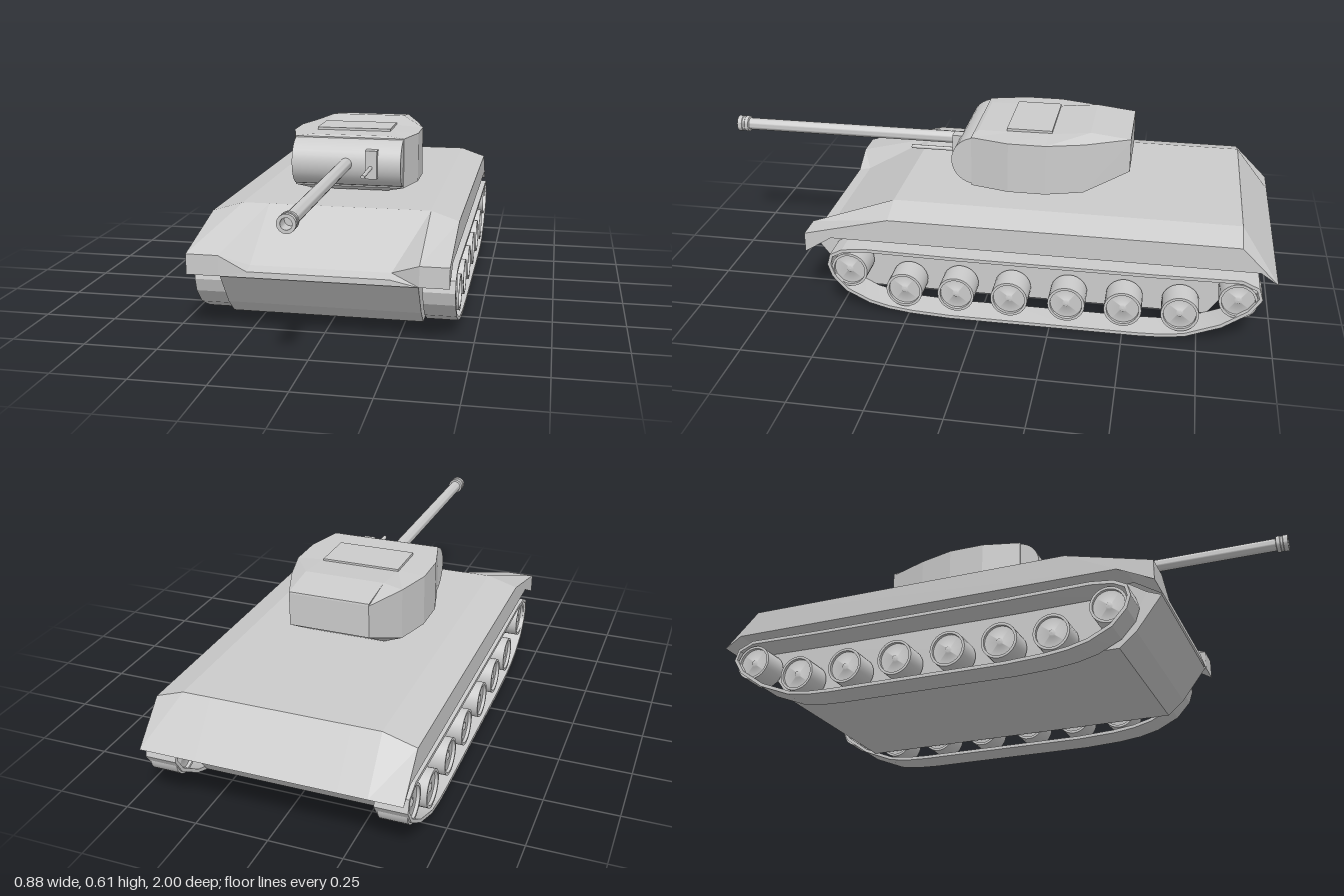
import * as THREE from 'three';
import { toCreasedNormals } from 'three/addons/utils/BufferGeometryUtils.js';

const smooth = new THREE.MeshStandardMaterial({ color: 0xcccccc });
const flat = new THREE.MeshStandardMaterial({ color: 0xcccccc, flatShading: true, side: THREE.DoubleSide });

function add(parent, name, geometry, material = smooth) {
  const mesh = new THREE.Mesh(geometry, material);
  mesh.name = name;
  parent.add(mesh);
  return mesh;
}

// Four-cornered faces, counter-clockwise from outside
function quadGeometry(quads) {
  const pos = [];
  for (const [a, b, c, d] of quads) pos.push(...a, ...b, ...c, ...a, ...c, ...d);
  const g = new THREE.BufferGeometry();
  g.setAttribute('position', new THREE.Float32BufferAttribute(pos, 3));
  g.computeVertexNormals();
  return g;
}

// Turns the +x half of a section into a full row of points
const row = (half, mirror) => [...half.map(mirror).reverse(), ...half];

// Joins successive rows, closing each into a ring if asked
function skin(rows, closed) {
  const quads = [];
  for (let i = 0; i < rows.length - 1; i++) {
    const r = rows[i], t = rows[i + 1], n = r.length;
    for (let j = 0; j < (closed ? n : n - 1); j++) {
      const k = (j + 1) % n;
      quads.push([r[j], r[k], t[k], t[j]]);
    }
  }
  return quads;
}

// Extrudes a (z, y) shape across x, centred on cx
function extrudeAcross(shape, width, cx) {
  const g = new THREE.ExtrudeGeometry(shape, { depth: width, bevelEnabled: false });
  return g.rotateY(-Math.PI / 2).translate(cx + width / 2, 0, 0);
}

const toPoints = (pts) => pts.map(([x, y]) => new THREE.Vector2(x, y));

function buildHull() {
  const hull = new THREE.Group();
  hull.name = 'hull';
  // The right sponson is slightly wider than the left
  const mirror = ([x, y, z]) => [x > 0.4 ? -0.44 : -x, y, z];
  const W = 0.427;
  const front = [[0.235, 0.245, 0.57], [0.33, 0.285, 0.615], [W, 0.285, 0.615], [W, 0.215, 0.615], [0.33, 0.215, 0.615]];
  const rear = [[0.235, 0.393, -0.875], [0.33, 0.393, -0.875], [W, 0.36, -0.875], [W, 0.275, -0.94], [0.327, 0.275, -0.94]];
  const tip = [0.235, 0.33, W, W, 0.327].map((x) => [x, 0.235, -1]);
  const sections = [
    front,
    [[0.235, 0.393, 0.315], [0.33, 0.393, 0.315], [W, 0.36, 0.315], [W, 0.275, 0.52], [0.327, 0.275, 0.52]],
    rear,
    tip,
  ];
  const quads = skin(sections.map((s) => row(s, mirror)), false);
  // Fender noses and the recessed lip between them
  const [a, b, c, d, e] = front;
  const f = [0.235, 0.235, 0.614];
  for (const q of [[b, e, d, c], [a, f, e, b]]) quads.push(q, q.map(mirror).reverse());
  quads.push([mirror(a), mirror(f), f, a], [mirror(f), mirror(e), e, f]);
  // Underside of the rear overhang
  quads.push([rear[4], mirror(rear[4]), mirror(tip[4]), tip[4]]);
  add(hull, 'upperHull', quadGeometry(quads), flat);

  const lower = [[0.61, 0.215], [0.52, 0.098], [0.46, 0.047], [-0.78, 0.047], [-0.945, 0.275], [0.5, 0.275], [0.56, 0.235]];
  add(hull, 'lowerHull', extrudeAcross(new THREE.Shape(toPoints(lower)), 0.654, 0), flat);
  return hull;
}

function buildTurret() {
  const turret = new THREE.Group();
  turret.name = 'turret';
  const mirror = ([x, y, z]) => [-x, y, z];
  // Plan outline from front to back, with the lower edge rising at the rear
  const plan = [[0.2, 0.065, 0.41], [0.235, -0.07, 0.41], [0.235, -0.2, 0.41], [0.2, -0.33, 0.412], [0.14, -0.485, 0.477]];
  const zBottom = [0.05, -0.07, -0.2, -0.31, -0.345];
  const roof = [[0.05, 0.597], [-0.07, 0.597], [-0.2, 0.598], [-0.345, 0.613], [-0.484, 0.597]];
  const levels = [
    zBottom.map((z) => [0.14, 0.396, z]),
    plan.map(([x, z, y]) => [x, y, z]),
    plan.map(([x, z]) => [x, 0.591, z]),
    roof.map(([z, y]) => [0.14, y, z]),
  ];
  const quads = skin(levels.map((l) => row(l, mirror)), true);
  const [bottom, , , top] = levels;
  for (let i = 0; i < 4; i++) {
    quads.push([mirror(top[i]), top[i], top[i + 1], mirror(top[i + 1])]);
    quads.push([bottom[i], mirror(bottom[i]), mirror(bottom[i + 1]), bottom[i + 1]]);
  }
  add(turret, 'turretBody', quadGeometry(quads), flat);
  add(turret, 'hatch', new THREE.BoxGeometry(0.275, 0.012, 0.16)).position.set(-0.005, 0.6, -0.13);

  // Rounded gun shield
  const mantlet = new THREE.CylinderGeometry(0.087, 0.087, 0.396, 32).rotateZ(Math.PI / 2);
  add(turret, 'mantlet', mantlet).position.set(0, 0.501, 0.05);

  // Main gun with a ringed, hollow muzzle
  const gunProfile = [[0, 0.1], [0.022, 0.1], [0.022, 0.957], [0.029, 0.959], [0.029, 0.972], [0.027, 0.974],
    [0.027, 0.982], [0.029, 0.984], [0.029, 1], [0.018, 1], [0.018, 0.95], [0, 0.95]];
  const gun = new THREE.LatheGeometry(toPoints(gunProfile), 24).rotateX(Math.PI / 2);
  add(turret, 'mainGun', toCreasedNormals(gun, 0.6)).position.y = 0.505;

  // Secondary gun and its mount
  add(turret, 'secondaryMount', new THREE.BoxGeometry(0.042, 0.102, 0.05)).position.set(0.094, 0.508, 0.125);
  const barrel = new THREE.CylinderGeometry(0.007, 0.007, 0.2, 12).rotateX(Math.PI / 2);
  add(turret, 'secondaryBarrel', barrel).position.set(0.092, 0.497, 0.205);
  return turret;
}

// Thin closed belt around the wheels
function beltGeometry(cx) {
  const outer = [[0.535, 0.175], [0.52, 0.13], [0.47, 0.075], [0.39, 0.035], [0.32, 0.017], [0.24, 0.007], [0.1, 0], [-0.55, 0],
    [-0.63, 0.003], [-0.71, 0.014], [-0.83, 0.062], [-0.92, 0.125], [-0.955, 0.18], [-0.942, 0.222], [-0.885, 0.247],
    [-0.6, 0.243], [0.1, 0.243], [0.4, 0.247], [0.48, 0.238], [0.524, 0.215]];
  const n = outer.length, t = 0.012;
  // The outline runs clockwise, so its inside lies to the right
  const inner = outer.map(([z, y], i) => {
    const p = outer[(i + n - 1) % n], q = outer[(i + 1) % n];
    const dz = q[0] - p[0], dy = q[1] - p[1], len = Math.hypot(dz, dy);
    return [z + (dy / len) * t, y - (dz / len) * t];
  });
  const shape = new THREE.Shape(toPoints(outer));
  shape.holes.push(new THREE.Path(toPoints(inner.reverse())));
  return toCreasedNormals(extrudeAcross(shape, 0.107, cx), 0.3);
}

// Drum wheel with dished faces and a hub on each side
function wheelGeometry(r) {
  const half = [[0, 0.042], [0.01, 0.041], [0.014, 0.036], [r - 0.009, 0.036], [r - 0.009, 0.047], [r, 0.047]];
  const profile = [...half.map(([x, y]) => [x, -y]), ...half.slice().reverse()];
  const g = new THREE.LatheGeometry(toPoints(profile), 28);
  return toCreasedNormals(g.rotateZ(Math.PI / 2), 0.95);
}

function buildTrack(side) {
  const track = new THREE.Group();
  track.name = side > 0 ? 'leftTrack' : 'rightTrack';
  const cx = side * 0.385;
  add(track, 'belt', beltGeometry(cx));
  const wheel = wheelGeometry(0.064);
  for (const z of [0.263, 0.08, -0.107, -0.305, -0.498, -0.69]) {
    add(track, 'roadWheel', wheel).position.set(cx, 0.094, z);
  }
  add(track, 'frontWheel', wheel).position.set(cx, 0.157, 0.458);
  add(track, 'rearWheel', wheel).position.set(cx, 0.164, -0.877);
  return track;
}

export function createModel() {
  const model = new THREE.Group();
  model.name = 'tank';
  model.add(buildHull(), buildTurret(), buildTrack(1), buildTrack(-1));
  return model;
}
